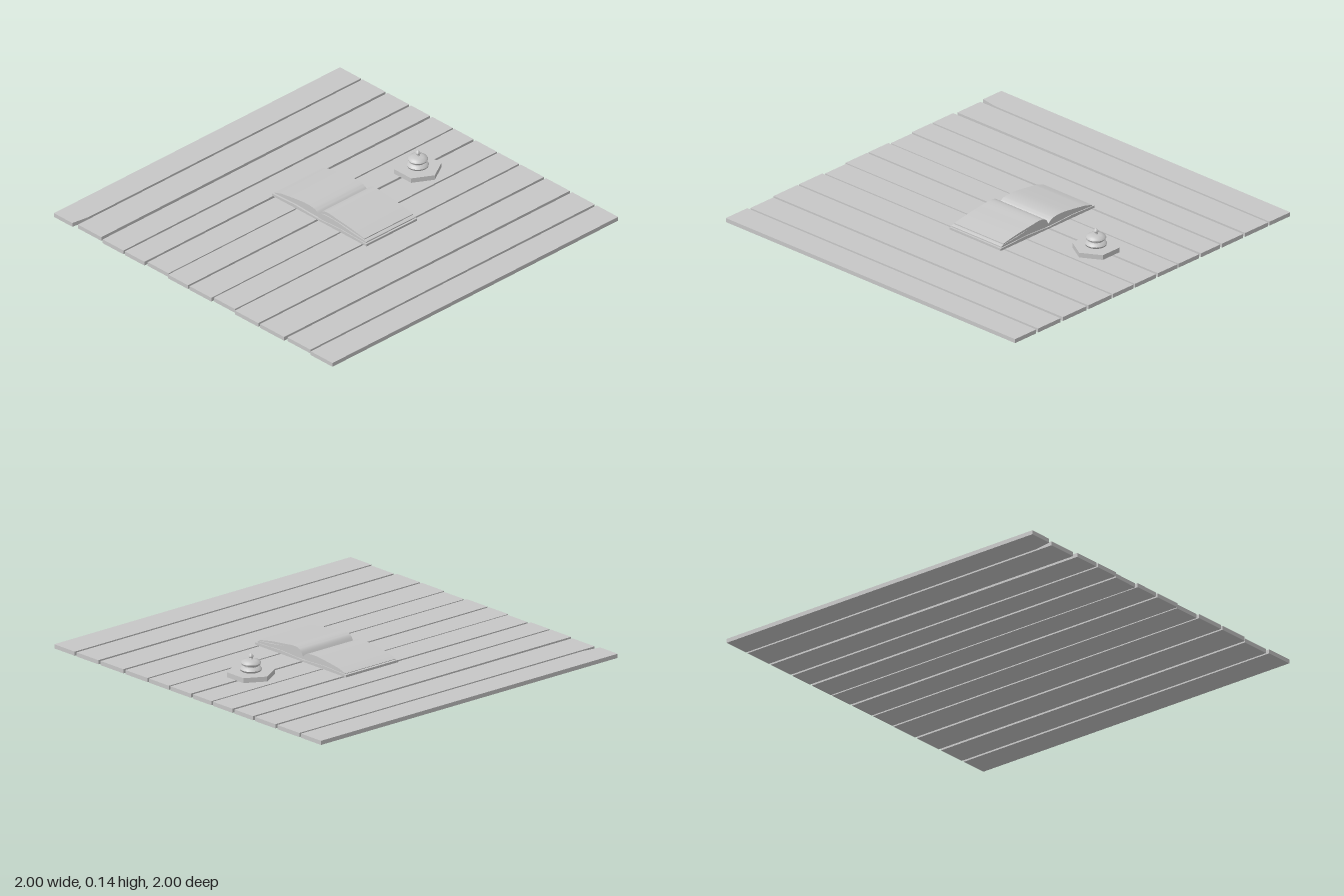
import * as THREE from 'three';
import { toCreasedNormals } from 'three/addons/utils/BufferGeometryUtils.js';

const grey = new THREE.MeshStandardMaterial({ color: 0xc6c6c6 });
grey.name = 'plain grey';

function part(name, geometry, parent) {
  const mesh = new THREE.Mesh(geometry, grey);
  mesh.name = name;
  parent.add(mesh);
  return mesh;
}

function extrude(points, depth) {
  const shape = new THREE.Shape(points.map(([x, y]) => new THREE.Vector2(x, y)));
  return new THREE.ExtrudeGeometry(shape, { depth, bevelEnabled: false });
}

// Profile in x and y, drawn out from zBack to zFront
function slab(name, points, zBack, zFront, parent) {
  const geometry = toCreasedNormals(extrude(points, zFront - zBack), 0.5);
  part(name, geometry.translate(0, 0, zBack), parent);
}

// Smooth curve through a few points
function smooth(points, n = 20) {
  const curve = new THREE.SplineCurve(points.map(([x, y]) => new THREE.Vector2(x, y)));
  return curve.getPoints(n).map((p) => [p.x, p.y]);
}

export function createModel() {
  const model = new THREE.Group();

  // Floor: twelve planks, slightly uneven in width, length and edge
  const floor = new THREE.Group();
  floor.name = 'plankFloor';
  model.add(floor);
  const planks = [
    [-1, -0.85], [-0.838, -0.67], [-0.658, -0.501], [-0.49, -0.35],
    [-0.337, -0.187], [-0.18, -0.037], [-0.025, 0.13], [0.138, 0.29],
    [0.299, 0.468], [0.48, 0.653], [0.667, 0.832], [0.844, 1],
  ];
  planks.forEach(([a, b], i) => {
    const front = i % 3 === 1 ? 0.99 : 1;
    const outline = i === 0
      ? [[a, -1], [-0.868, -1], [-0.852, -0.9], [b, 1], [a, 1]]
      : [[a + (i === 2 ? 0.008 : 0), -front], [b, -front], [b - 0.003, 1], [a, 1]];
    part('plank', extrude(outline, 0.022).rotateX(-Math.PI / 2), floor);
  });

  // Open book
  const book = new THREE.Group();
  book.name = 'openBook';
  model.add(book);
  slab('cover', [
    [-0.36, 0.022], [0.32, 0.022], [0.32, 0.034], [0.13, 0.04],
    [-0.035, 0.032], [-0.2, 0.04], [-0.36, 0.034],
  ], -0.255, 0.1, book);
  slab('leftPages', [
    [-0.345, 0.034], [-0.03, 0.034],
    ...smooth([[-0.03, 0.045], [-0.06, 0.068], [-0.12, 0.075], [-0.2, 0.068], [-0.3, 0.054]]),
    [-0.35, 0.039],
  ], -0.25, 0.09, book);
  // Right half: a lower block and a loose upper stack with a thin gap at the fore edge
  slab('rightPages', [
    [-0.03, 0.034], [0.31, 0.034], [0.31, 0.04],
    ...smooth([[0.3, 0.045], [0.2, 0.055], [0.1, 0.068], [0, 0.068], [-0.03, 0.045]]),
  ], -0.25, 0.095, book);
  slab('upperPages', [
    ...smooth([[-0.03, 0.045], [0, 0.066], [0.1, 0.068], [0.2, 0.058], [0.295, 0.047]]),
    ...smooth([[0.295, 0.052], [0.2, 0.069], [0.1, 0.081], [0.03, 0.088], [-0.01, 0.078], [-0.032, 0.048]]),
  ], -0.25, 0.09, book);

  // Hexagonal stand with a small lidded pot
  const pot = new THREE.Group();
  pot.name = 'liddedPot';
  pot.position.set(-0.02, 0, -0.59);
  model.add(pot);
  const hex = new THREE.CylinderGeometry(0.122, 0.122, 0.026, 6).toNonIndexed();
  hex.computeVertexNormals();
  part('hexStand', hex.rotateY(Math.PI / 6).translate(0, 0.035, 0), pot);
  const profile = [
    [0, 0.046], [0.042, 0.046], [0.053, 0.052], [0.056, 0.06], [0.05, 0.069],
    [0.037, 0.075], [0.037, 0.081], [0.048, 0.084], [0.052, 0.092], [0.047, 0.101],
    [0.03, 0.107], [0.01, 0.111], [0.008, 0.117], [0.013, 0.123], [0.012, 0.131],
    [0.006, 0.138], [0, 0.142],
  ].map(([r, y]) => new THREE.Vector2(r, y));
  part('potAndLid', toCreasedNormals(new THREE.LatheGeometry(profile, 24), 0.8), pot);

  return model;
}
